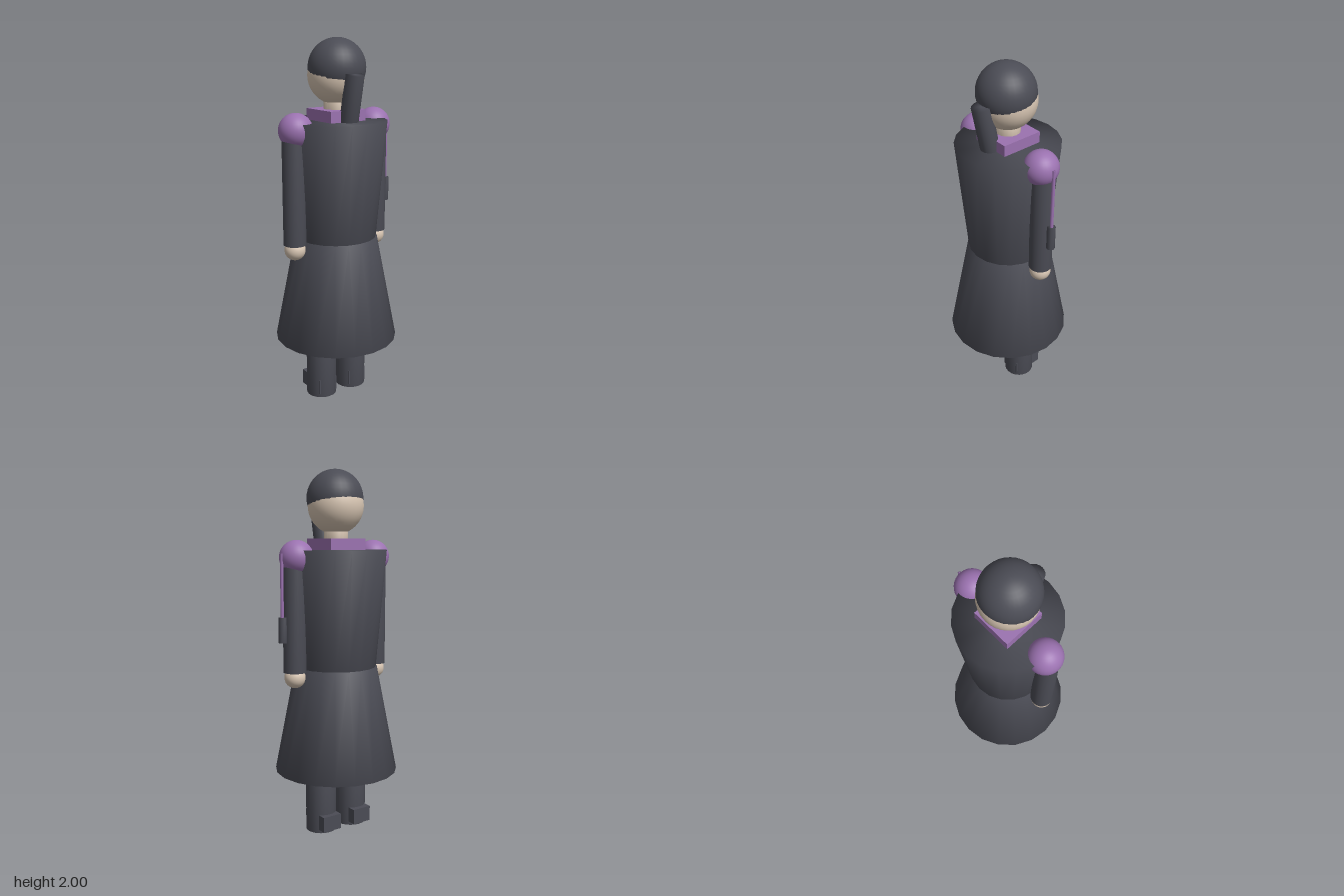
import * as THREE from 'three';
import { mergeVertices } from 'three/addons/utils/BufferGeometryUtils.js';

export function createModel() {
  const model = new THREE.Group();
  model.name = 'coatedFigure';

  const mat = (name, color) => {
    const m = new THREE.MeshStandardMaterial({ color });
    m.name = name;
    return m;
  };
  const charcoal = mat('charcoal', 0x4b4c55);
  const skin = mat('skin', 0xd8c6b3);
  const purple = mat('purple', 0x9b72b0);

  const add = (name, geometry, material, x, y, z) => {
    const mesh = new THREE.Mesh(geometry, material);
    mesh.name = name;
    mesh.position.set(x, y, z);
    model.add(mesh);
    return mesh;
  };

  // Capped cylinder with normals blended over the rims
  const softCylinder = (rTop, rBottom, height, sides = 20) => {
    const g = new THREE.CylinderGeometry(rTop, rBottom, height, sides);
    g.deleteAttribute('normal');
    g.deleteAttribute('uv');
    const welded = mergeVertices(g);
    welded.computeVertexNormals();
    return welded;
  };
  const column = (name, rTop, rBottom, y0, y1, material, x = 0, z = 0, sides = 20) =>
    add(name, softCylinder(rTop, rBottom, y1 - y0, sides), material, x, (y0 + y1) / 2, z);
  const ball = (name, r, material, x, y, z = 0) =>
    add(name, new THREE.SphereGeometry(r, 32, 20), material, x, y, z);

  // Coat
  column('coatSkirt', 0.228, 0.343, 0.34, 0.93, charcoal);
  column('coatBody', 0.277, 0.222, 0.93, 1.57, charcoal);
  add('collar', new THREE.BoxGeometry(0.225, 0.08, 0.23), purple, 0, 1.59, 0);

  // Head, hair and ponytail
  column('neck', 0.065, 0.065, 1.58, 1.7, skin);
  ball('head', 0.152, skin, 0, 1.805, 0.002);
  ball('hair', 0.154, charcoal, 0, 1.846, 0.01);
  const ponytail = add('ponytail', softCylinder(0.05, 0.05, 0.3), charcoal, 0, 1.67, 0.138);
  ponytail.rotation.x = 0.2;

  // Paired limbs
  for (const side of [-1, 1]) {
    const label = side > 0 ? 'left' : 'right';
    column(label + 'Arm', 0.062, 0.062, 0.92, 1.54, charcoal, side * 0.27);
    ball(label + 'Hand', 0.058, skin, side * 0.27, 0.892);
    ball(label + 'ShoulderPad', 0.092, purple, side * 0.255, 1.532);
    column(label + 'Leg', 0.085, 0.085, 0, 0.4, charcoal, side * 0.103);
    add(label + 'Shoe', new THREE.BoxGeometry(0.115, 0.085, 0.18), charcoal,
      side * 0.103, 0.0625, -0.022);
  }

  // Cord with a weight hanging from the left shoulder
  column('cord', 0.009, 0.009, 1.2, 1.555, purple, 0.346, 0, 8);
  column('cordWeight', 0.023, 0.023, 1.085, 1.22, charcoal, 0.344, 0, 8);

  // Centre the whole outline
  for (const part of model.children) part.position.x -= 0.01;
  return model;
}
